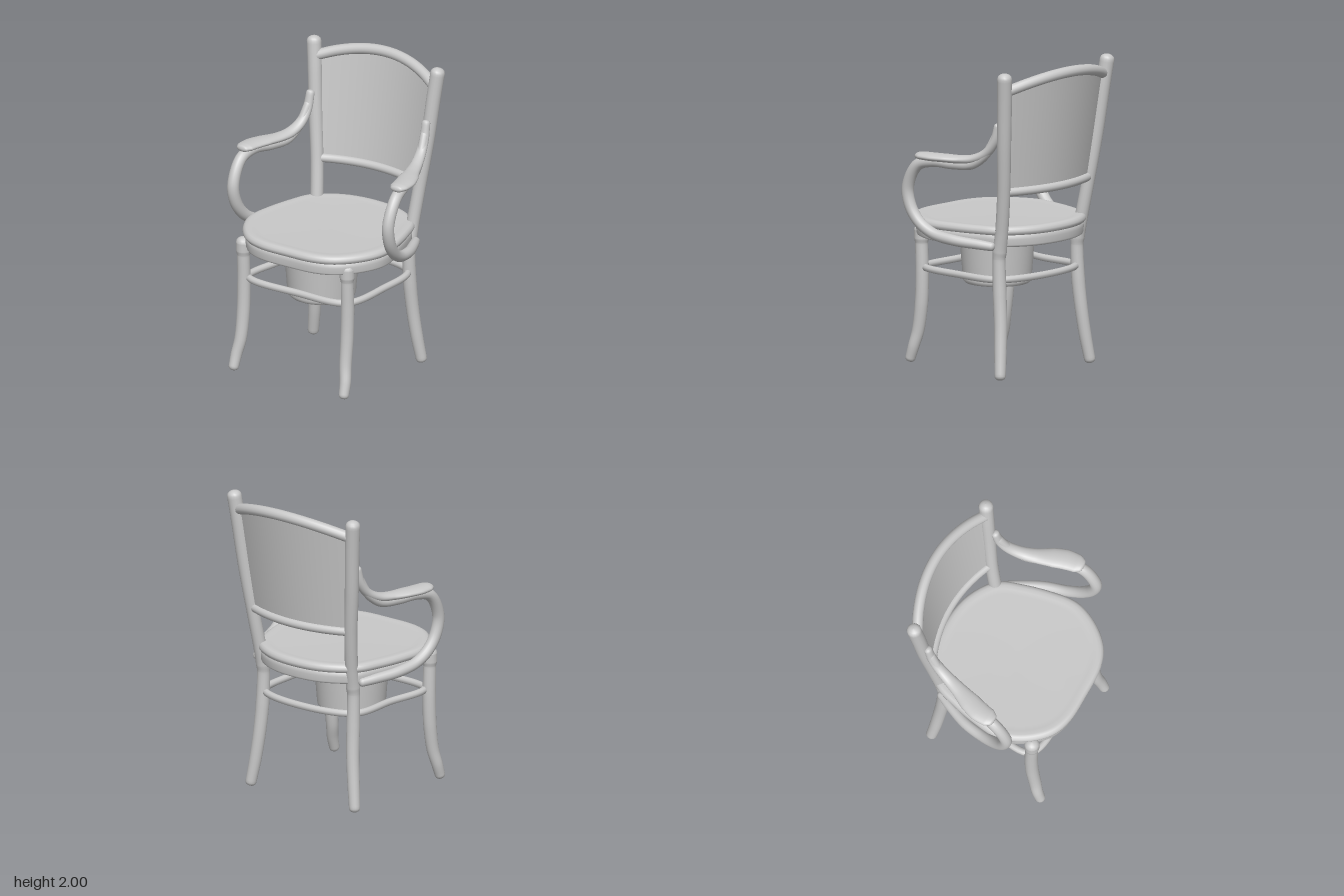
import * as THREE from 'three';

const wood = new THREE.MeshStandardMaterial({ name: 'paleGrey', color: 0xc8c8c8 });
const sheet = new THREE.MeshStandardMaterial({ name: 'paleGreyPanel', color: 0xc8c8c8, side: THREE.DoubleSide });
const V = (x, y, z) => new THREE.Vector3(x, y, z);

// Closed skin over a list of rings, wound so that faces look outward
function skin(rings) {
  const n = rings[0].length, pos = [], idx = [];
  rings.forEach((r) => r.forEach((p) => pos.push(p.x, p.y, p.z)));
  let volume = 0;
  const tri = (a, b, c) => {
    idx.push(a, b, c);
    const [A, B, C] = [a, b, c].map((i) => V().fromArray(pos, i * 3));
    volume += A.dot(B.cross(C));
  };
  for (let i = 0; i < rings.length - 1; i++) {
    for (let j = 0; j < n; j++) {
      const a = i * n + j, b = i * n + (j + 1) % n;
      tri(a, b, a + n);
      tri(b, b + n, a + n);
    }
  }
  if (volume < 0) idx.reverse();
  const g = new THREE.BufferGeometry();
  g.setAttribute('position', new THREE.Float32BufferAttribute(pos, 3));
  g.setIndex(idx);
  g.computeVertexNormals();
  return g;
}

// Bent rod through stations [x, y, z, halfWidth, halfThickness], with rounded ends
function rod(stations, ref = V(1, 0, 0), steps = 10, sides = 16) {
  const curve = new THREE.CatmullRomCurve3(stations.map((s) => V(s[0], s[1], s[2])));
  const last = stations.length - 1, rings = [];
  const ring = (t, scale, push) => {
    const i = Math.min(Math.floor(t * last), last - 1), f = t * last - i;
    const size = (k) => THREE.MathUtils.lerp(
      stations[i][k] ?? stations[i][3], stations[i + 1][k] ?? stations[i + 1][3], f);
    const a = size(3), b = size(4);
    const dir = curve.getTangent(t);
    const side = ref.clone().addScaledVector(dir, -ref.dot(dir)).normalize();
    const up = V().crossVectors(dir, side);
    const c = curve.getPoint(t).addScaledVector(dir, push * Math.min(a, b) * 0.7);
    rings.push(Array.from({ length: sides }, (_, j) => {
      const w = (j / sides) * Math.PI * 2;
      return c.clone().addScaledVector(side, Math.cos(w) * a * scale).addScaledVector(up, Math.sin(w) * b * scale);
    }));
  };
  const cap = [0, 0.35, 0.7, 1.1].map((k) => [Math.sin(k), Math.cos(k)]);
  cap.forEach(([s, c]) => ring(0, s, -c));
  for (let i = 0; i <= last * steps; i++) ring(i / (last * steps), 1, 0);
  cap.reverse().forEach(([s, c]) => ring(1, s, c));
  return skin(rings);
}

export function createModel() {
  const model = new THREE.Group();
  model.name = 'armchair';
  const add = (name, geometry, material = wood) => {
    const m = new THREE.Mesh(geometry, material);
    m.name = name;
    model.add(m);
  };

  // Seat: frame below, rounded pan above, one outline at several insets
  const half = [[0.2, 0.562], [0.33, 0.515], [0.43, 0.42], [0.5, 0.3], [0.525, 0.2], [0.51, 0.05],
    [0.465, -0.14], [0.4, -0.3], [0.22, -0.42]];
  const outline = new THREE.CatmullRomCurve3([
    V(0, 0, 0.57), ...half.map(([x, z]) => V(x, 0, z)),
    V(0, 0, -0.455), ...half.map(([x, z]) => V(-x, 0, z)).reverse(),
  ], true).getPoints(96).slice(0, 96);
  const seatRings = (levels) => skin(levels.map(([inset, y]) => outline.map((p) => {
    const s = 1 - inset / 0.52;
    return V(p.x * s - 0.014, y, (p.z - 0.06) * s + 0.06);
  })));
  add('seatFrame', seatRings([[0.52, 0.85], [0.06, 0.85], [0.03, 0.85], [0.02, 0.854], [0.016, 0.865],
    [0.014, 0.9], [0.016, 0.925], [0.03, 0.935], [0.52, 0.935]]));
  add('seatPan', seatRings([[0.52, 0.925], [0.03, 0.925], [0.01, 0.93], [0.001, 0.943], [0, 0.956],
    [0.006, 0.971], [0.018, 0.98], [0.035, 0.983], [0.06, 0.981], [0.09, 0.977], [0.52, 0.974]]));

  // Pot hanging under the seat
  const pot = new THREE.LatheGeometry([[0, 0.522], [0.19, 0.522], [0.205, 0.525], [0.215, 0.535],
    [0.219, 0.55], [0.243, 0.86]].map(([r, y]) => new THREE.Vector2(r, y)), 48);
  pot.translate(-0.04, 0, 0.122);
  add('pot', pot);

  // Ring stretcher between the legs
  const ring = new THREE.CatmullRomCurve3([[0, 0.435], [0.34, 0.4], [0.395, 0.06], [0.36, -0.26],
    [0, -0.35], [-0.36, -0.26], [-0.4, 0.06], [-0.42, 0.39]].map(([x, z]) => V(x, 0.637, z)), true);
  add('ringStretcher', new THREE.TubeGeometry(ring, 96, 0.023, 10, true));

  for (const [s, label, legX] of [[1, 'left', 0.355], [-1, 'right', 0.445]]) {
    // Front leg with a collar at the top
    add(label + 'FrontLeg', rod([
      [s * legX, 0.88, 0.41, 0.048], [s * legX, 0.82, 0.41, 0.048], [s * legX, 0.79, 0.41, 0.041],
      [s * legX, 0.6, 0.405, 0.043], [s * legX, 0.4, 0.412, 0.043], [s * (legX + 0.005), 0.22, 0.436, 0.04],
      [s * (legX + 0.02), 0.12, 0.46, 0.037], [s * (legX + 0.025), 0.04, 0.484, 0.033]]));

    // Back leg running up into the back post
    add(label + 'BackPost', rod([
      [s * 0.477, 1.972, -0.425, 0.047], [s * 0.458, 1.8, -0.407, 0.047], [s * 0.43, 1.5, -0.376, 0.045],
      [s * 0.395, 1.2, -0.34, 0.042], [s * 0.37, 0.95, -0.3, 0.042], [s * 0.362, 0.82, -0.275, 0.046],
      [s * 0.362, 0.77, -0.27, 0.041], [s * 0.365, 0.55, -0.278, 0.044], [s * 0.375, 0.36, -0.295, 0.042],
      [s * 0.395, 0.18, -0.312, 0.04], [s * 0.417, 0.028, -0.33, 0.036]]));

    // Bent arm loop from the post down to the seat side
    add(label + 'ArmLoop', rod([
      [s * 0.448, 1.58, -0.32, 0.027], [s * 0.465, 1.46, -0.25, 0.03], [s * 0.49, 1.39, -0.15, 0.036],
      [s * 0.53, 1.38, -0.03, 0.036], [s * 0.575, 1.386, 0.1, 0.036], [s * 0.596, 1.35, 0.22, 0.038],
      [s * 0.598, 1.2, 0.302, 0.039], [s * 0.593, 1.08, 0.285, 0.039], [s * 0.58, 0.98, 0.22, 0.038],
      [s * 0.56, 0.915, 0.12, 0.036], [s * 0.525, 0.885, -0.03, 0.035], [s * 0.46, 0.868, -0.18, 0.032],
      [s * 0.42, 0.858, -0.26, 0.028]]));

    // Flat paddle armrest sweeping up to the post
    add(label + 'Armrest', rod([
      [s * 0.594, 1.415, 0.205, 0.045, 0.022], [s * 0.592, 1.416, 0.175, 0.062, 0.025],
      [s * 0.582, 1.416, 0.1, 0.069, 0.026], [s * 0.555, 1.415, 0.02, 0.066, 0.026],
      [s * 0.515, 1.413, -0.08, 0.05, 0.027], [s * 0.485, 1.424, -0.17, 0.042, 0.03],
      [s * 0.462, 1.47, -0.255, 0.036, 0.03], [s * 0.45, 1.55, -0.312, 0.032, 0.028],
      [s * 0.446, 1.65, -0.34, 0.028, 0.025]], V(1, 0, 0), 8, 20));
  }

  // Curved back rails; u runs from -1 to 1 across the back
  const topRail = (u) => [u * 0.455, 1.967 - 0.087 * u * u, -0.538 + 0.125 * u * u];
  const lowRail = (u) => [u * 0.39, 1.215, -0.432 + 0.088 * u * u];
  const us = [-1, -0.75, -0.5, -0.25, 0, 0.25, 0.5, 0.75, 1];
  add('topBackRail', rod(us.map((u) => [...topRail(u), 0.035]), V(0, 1, 0), 5));
  add('lowerBackRail', rod(us.map((u) => [...lowRail(u), 0.028]), V(0, 1, 0), 5));

  // Curved back panel stretched between the rails
  const panel = new THREE.PlaneGeometry(2, 1, 32, 4);
  const p = panel.attributes.position;
  for (let i = 0; i < p.count; i++) {
    const u = p.getX(i);
    p.setXYZ(i, ...V(...lowRail(u)).lerp(V(...topRail(u)), p.getY(i) + 0.5).toArray());
  }
  panel.computeVertexNormals();
  add('backPanel', panel, sheet);

  return model;
}
